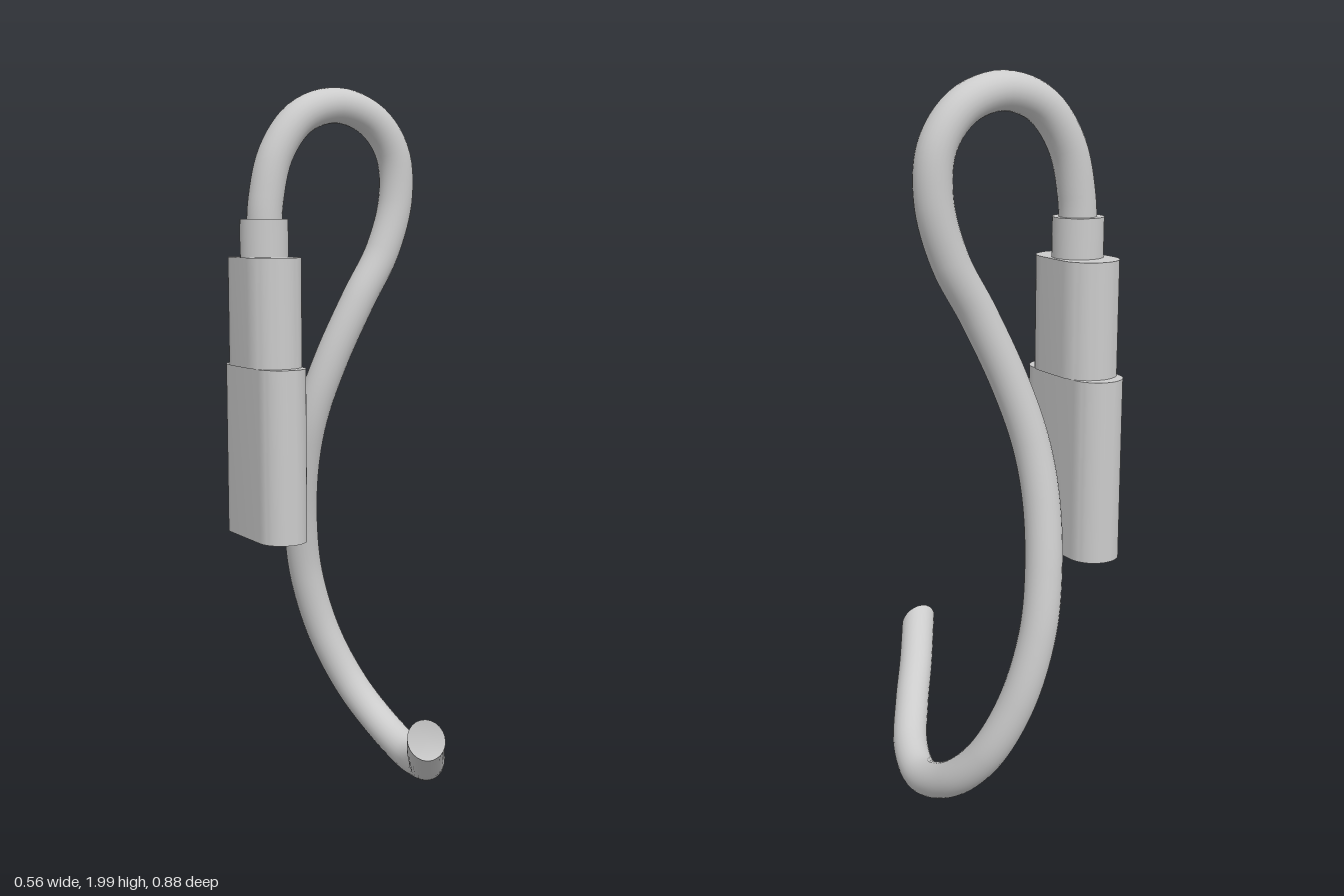
import * as THREE from 'three';
import { toCreasedNormals } from 'three/addons/utils/BufferGeometryUtils.js';

const material = new THREE.MeshStandardMaterial({ color: 0xcccccc });
const PLUG_X = -0.206, PLUG_Z = -0.245;
const RADIUS = 0.05, SIDES = 24, STEPS = 160, END_Z = 0.424;

// Upright block with a pill-shaped footprint, from y0 to y1
function pill(name, thickness, width, y0, y1) {
  const r = thickness / 2, h = width / 2 - r;
  const shape = new THREE.Shape();
  shape.absarc(0, h, r, 0, Math.PI);
  shape.absarc(0, -h, r, Math.PI, Math.PI * 2);
  shape.closePath();
  const extruded = new THREE.ExtrudeGeometry(shape, {
    depth: y1 - y0, bevelEnabled: false, curveSegments: 12,
  });
  extruded.rotateX(-Math.PI / 2);
  const mesh = new THREE.Mesh(toCreasedNormals(extruded, 0.6), material);
  mesh.name = name;
  mesh.position.set(PLUG_X, y0, PLUG_Z);
  return mesh;
}

// Cord swept along a smooth path, its free end cut square to z
function cord() {
  const path = new THREE.CatmullRomCurve3([
    [-0.206, 1.56, -0.245], [-0.2, 1.68, -0.245], [-0.165, 1.815, -0.245],
    [-0.085, 1.915, -0.245], [0.03, 1.95, -0.245], [0.145, 1.912, -0.245],
    [0.215, 1.82, -0.245], [0.225, 1.69, -0.245], [0.18, 1.54, -0.245],
    [0.1, 1.4, -0.248], [0.02, 1.225, -0.27], [-0.03, 1.06, -0.3],
    [-0.044, 0.91, -0.332], [-0.033, 0.73, -0.365], [-0.005, 0.56, -0.383],
    [0.05, 0.37, -0.37], [0.115, 0.21, -0.315], [0.16, 0.11, -0.22],
    [0.173, 0.056, -0.075], [0.138, 0.078, 0.06], [0.057, 0.145, 0.2],
    [-0.018, 0.22, 0.31], [-0.09, 0.3, END_Z],
  ].map((p) => new THREE.Vector3(...p)));
  const tube = new THREE.TubeGeometry(path, STEPS, RADIUS, SIDES);
  const pos = tube.attributes.position, tangent = path.getTangent(1);
  const cap = new THREE.CircleGeometry(RADIUS, SIDES);
  const v = new THREE.Vector3();
  for (let i = 0; i <= SIDES; i++) {
    const k = STEPS * (SIDES + 1) + i;
    v.fromBufferAttribute(pos, k);
    v.addScaledVector(tangent, 0.6 * (END_Z - v.z) / tangent.z);
    pos.setXYZ(k, v.x, v.y, v.z);
    cap.attributes.position.setXYZ(i + 1, v.x, v.y, v.z);
  }
  // slightly dished end face
  const end = path.getPoint(1).addScaledVector(tangent, -0.015);
  cap.attributes.position.setXYZ(0, end.x, end.y, end.z);
  cap.computeVertexNormals();

  const group = new THREE.Group();
  group.name = 'cord';
  const sleeve = new THREE.Mesh(tube, material);
  sleeve.name = 'cordSleeve';
  const face = new THREE.Mesh(cap, material.clone());
  face.material.side = THREE.DoubleSide;
  face.name = 'cordEnd';
  group.add(sleeve, face);
  return group;
}

export function createModel() {
  const model = new THREE.Group();
  model.name = 'plugAndCord';

  // Plug stacked from the wide end up to the cord collar
  model.add(
    pill('plugHousing', 0.14, 0.33, 0.73, 1.22),
    pill('plugGrip', 0.16, 0.262, 1.22, 1.525),
  );
  const collar = new THREE.Mesh(new THREE.CylinderGeometry(0.068, 0.068, 0.115, 32), material);
  collar.name = 'cordCollar';
  collar.position.set(PLUG_X, 1.5725, PLUG_Z);
  model.add(collar, cord());
  return model;
}
